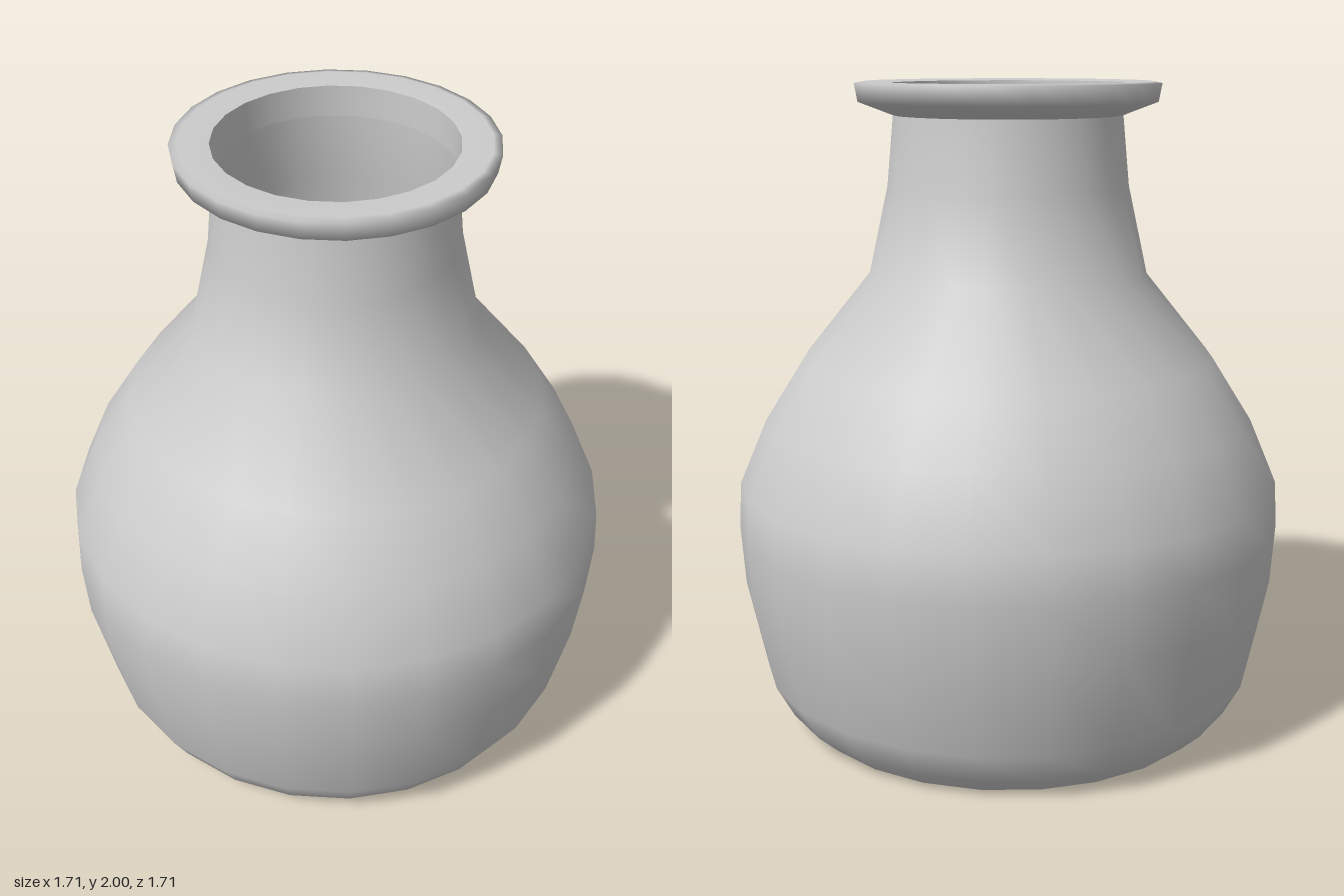
import * as THREE from 'three';

const SIDES = 24;
const material = new THREE.MeshStandardMaterial({ color: 0xcccccc, side: THREE.DoubleSide });

// Revolve a profile of [radius, height] pairs around the y axis.
function turned(name, profile) {
  const points = profile.map(([r, y]) => new THREE.Vector2(r, y));
  const mesh = new THREE.Mesh(new THREE.LatheGeometry(points, SIDES), material);
  mesh.name = name;
  return mesh;
}

export function createModel() {
  const vase = new THREE.Group();
  vase.name = 'vase';

  // Flat base
  vase.add(turned('base', [[0, 0], [0.66, 0]]));

  // Bulging body that narrows into the neck
  vase.add(turned('body', [
    [0.66, 0], [0.725, 0.06], [0.78, 0.16], [0.84, 0.44], [0.853, 0.63],
    [0.845, 0.77], [0.76, 0.97], [0.64, 1.16], [0.43, 1.42], [0.37, 1.69], [0.35, 1.9],
  ]));

  // Flared lip: underside and rounded edge, then the flat top
  vase.add(turned('lip', [
    [0.35, 1.9], [0.455, 1.94], [0.465, 1.995], [0.44, 2], [0.352, 1.995],
  ]));
  vase.add(turned('mouth', [[0.352, 1.995], [0.35, 1.9]]));

  // Inside of the neck, closed by a rounded bowl
  const cavity = [[0.35, 1.9], [0.362, 1.69], [0.415, 1.42]];
  const steps = 6;
  for (let i = 1; i <= steps; i++) {
    const a = (i / steps) * Math.PI / 2;
    cavity.push([i === steps ? 0 : 0.415 * Math.cos(a), 1.42 - 0.42 * Math.sin(a)]);
  }
  vase.add(turned('cavity', cavity));

  return vase;
}
